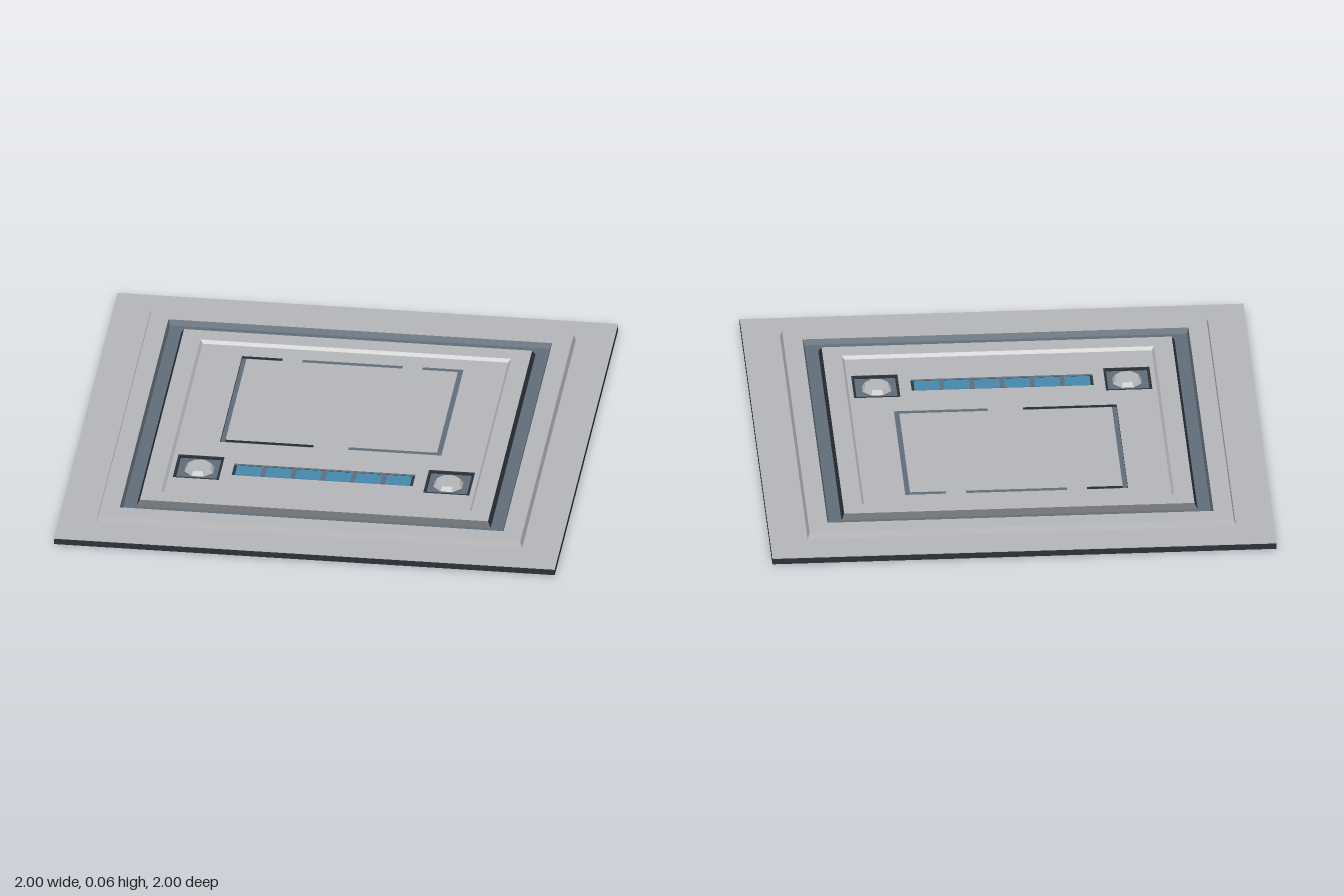
import * as THREE from 'three';

const mat = (name, color) => {
  const m = new THREE.MeshStandardMaterial({ color });
  m.name = name;
  return m;
};

export function createModel() {
  const grey = mat('light grey', 0xb6b7ba);
  const slate = mat('slate blue', 0x616d79);
  const dark = mat('dark charcoal', 0x2c3038);
  const blue = mat('light panel blue', 0x4789ae);
  const group = new THREE.Group();

  const add = (name, geometry, material, x = 0, y = 0, z = 0) => {
    const mesh = new THREE.Mesh(geometry, material);
    mesh.name = name;
    mesh.position.set(x, y, z);
    group.add(mesh);
    return mesh;
  };
  // Box given by its centre, size and bottom/top heights
  const slab = (name, material, x, z, w, d, y0, y1) =>
    add(name, new THREE.BoxGeometry(w, y1 - y0, d), material, x, (y0 + y1) / 2, z);
  // Square ring swept from [half width, height] points, outside to inside
  const squareRing = (name, material, profile) => {
    const points = profile.map(([half, y]) => new THREE.Vector2(half * Math.SQRT2, y));
    const geometry = new THREE.LatheGeometry(points, 4, Math.PI / 4).toNonIndexed();
    geometry.computeVertexNormals();
    return add(name, geometry, material);
  };

  const base = 0.03, top = 0.057, floor = 0.044, sunk = 0.034;

  // Base and underside
  slab('baseSlab', dark, 0, 0, 2, 2, 0.004, base - 0.002);
  slab('undersidePlate', slate, 0, 0, 1.67, 1.67, 0, 0.004);
  slab('sunkenPlate', slate, 0, 0, 1.54, 1.54, base - 0.002, sunk);

  // Stepped square frame with a channel
  squareRing('outerFrame', grey, [[1, base - 0.002], [1, base], [0.85, base], [0.842, top], [0.766, top]]);
  squareRing('channelOuterWall', slate, [[0.766, top], [0.758, sunk]]);
  squareRing('channelInnerWall', dark, [[0.707, sunk], [0.695, top]]);
  squareRing('innerFrame', grey, [[0.695, top], [0.62, top], [0.61, floor]]);

  // Recessed floor with cut-outs; shape coordinates are x and -z
  const path = (pts) => new THREE.Path(pts.map(([x, z]) => new THREE.Vector2(x, -z)));
  const rect = (x0, z0, x1, z1) => path([[x0, z0], [x1, z0], [x1, z1], [x0, z1]]);
  const shape = new THREE.Shape(rect(-0.612, -0.612, 0.612, 0.612).getPoints());
  const g = 0.02;
  for (const s of [-1, 1]) {
    // Side part of the hatch groove, open at the bridges
    shape.holes.push(path([
      [s * 0.28, -0.53], [s * 0.442, -0.53], [s * 0.442, 0.168], [s * 0.07, 0.168],
      [s * 0.07, 0.168 - g], [s * (0.442 - g), 0.168 - g], [s * (0.442 - g), -0.53 + g], [s * 0.28, -0.53 + g],
    ]));
    shape.holes.push(rect(s * 0.5 - 0.092, 0.288, s * 0.5 + 0.092, 0.474));
  }
  shape.holes.push(rect(-0.2, -0.53, 0.2, -0.53 + g));
  shape.holes.push(rect(-0.363, 0.335, 0.36, 0.428));
  const floorGeometry = new THREE.ExtrudeGeometry(shape, { depth: floor - sunk, bevelEnabled: false });
  floorGeometry.rotateX(-Math.PI / 2);
  add('recessedFloor', floorGeometry, [grey, dark], 0, sunk, 0);

  // Dark rims and octagonal studs in the square pockets
  for (const s of [-1, 1]) {
    for (const t of [-1, 1]) {
      slab('pocketRim', dark, s * 0.5 + t * 0.087, 0.381, 0.01, 0.186, sunk, floor - 0.001);
      slab('pocketRim', dark, s * 0.5, 0.381 + t * 0.088, 0.184, 0.01, sunk, floor - 0.001);
    }
    const stud = new THREE.CylinderGeometry(0.05, 0.062, 0.018, 8).rotateY(Math.PI / 8).toNonIndexed();
    stud.computeVertexNormals();
    add('stud', stud, grey, s * 0.497, sunk + 0.009, 0.381);
  }

  // Light strip: dark tray, blue panes and dividers
  slab('stripTray', dark, -0.0015, 0.3815, 0.722, 0.092, sunk, 0.037);
  for (let i = 0; i < 6; i++) {
    const x = -0.3 + i * 0.1195;
    slab('lightPane', blue, x, 0.3815, 0.102, 0.074, 0.037, 0.041);
    if (i < 5) slab('paneDivider', slate, x + 0.06, 0.3815, 0.018, 0.074, 0.037, 0.042);
  }
  return group;
}
